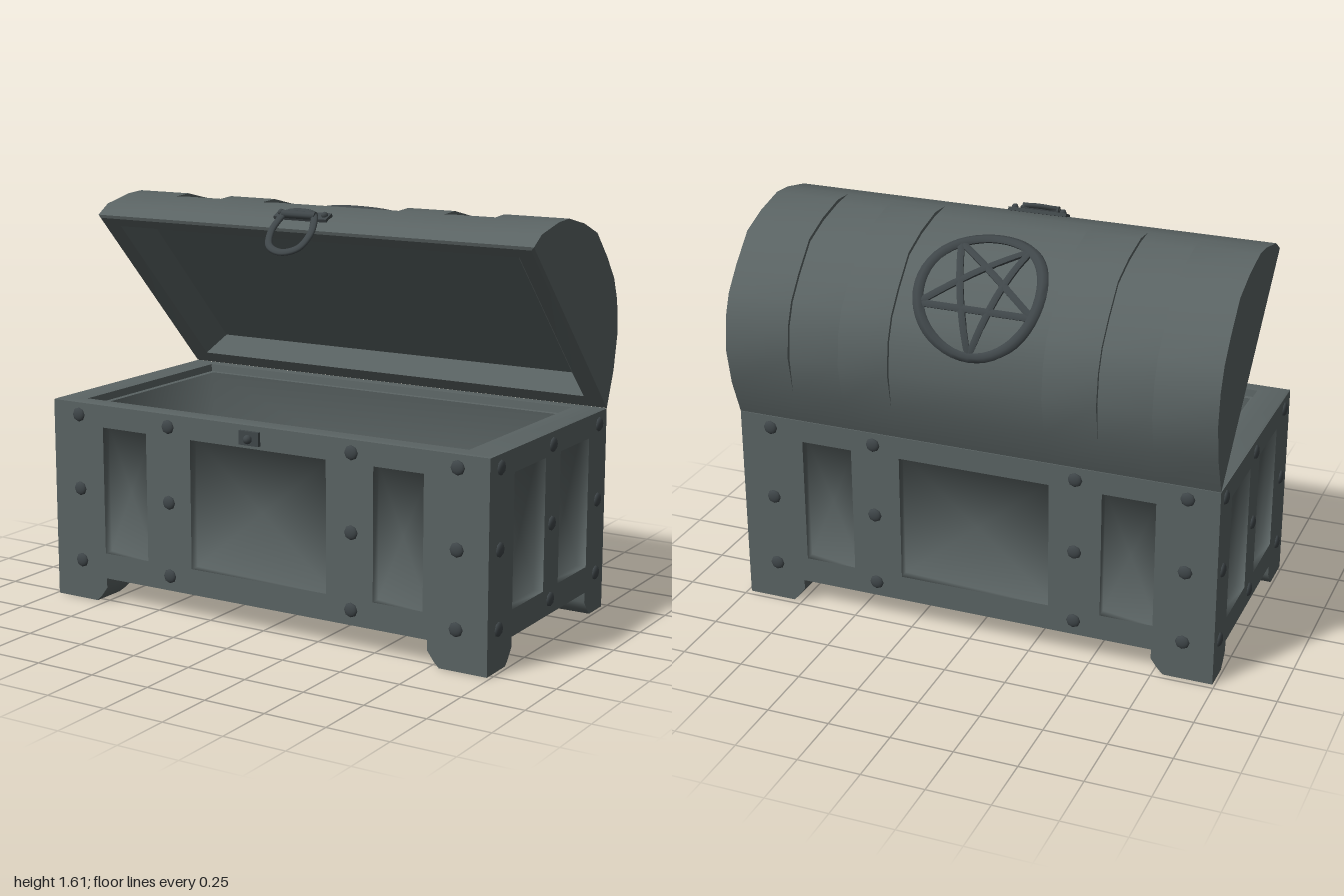
import * as THREE from 'three';
import { toCreasedNormals } from 'three/addons/utils/BufferGeometryUtils.js';

const wood = new THREE.MeshStandardMaterial({ color: 0x5a6363, side: THREE.DoubleSide });
const iron = new THREE.MeshStandardMaterial({ color: 0x3f4649, side: THREE.DoubleSide });

function add(parent, name, geo, mat, x = 0, y = 0, z = 0) {
  const m = new THREE.Mesh(geo, mat);
  m.name = name;
  m.position.set(x, y, z);
  parent.add(m);
  return m;
}

// Skin a list of equal-length point rings; optional end caps are fans
function loft(rings, { closed = true, capStart = false, capEnd = false, crease = 0.6 } = {}) {
  const n = rings[0].length, pos = rings.flat(2), idx = [];
  for (let r = 0; r < rings.length - 1; r++)
    for (let i = 0; i < (closed ? n : n - 1); i++) {
      const a = r * n + i, b = r * n + (i + 1) % n;
      idx.push(a, b, a + n, b, b + n, a + n);
    }
  const cap = (r, flip) => {
    const c = pos.length / 3;
    for (let k = 0; k < 3; k++) pos.push(rings[r].reduce((s, p) => s + p[k], 0) / n);
    for (let i = 0; i < n; i++) {
      const a = r * n + i, b = r * n + (i + 1) % n;
      idx.push(c, flip ? b : a, flip ? a : b);
    }
  };
  if (capStart) cap(0, true);
  if (capEnd) cap(rings.length - 1, false);
  const g = new THREE.BufferGeometry();
  g.setAttribute('position', new THREE.Float32BufferAttribute(pos, 3));
  g.setIndex(idx);
  return toCreasedNormals(g, crease);
}

// Horizontal rectangle ring, counter-clockwise seen from above
const rect = (x0, x1, z0, z1, y) => [[x0, y, z1], [x1, y, z1], [x1, y, z0], [x0, y, z0]];

const X0 = -0.99, X1 = 0.985, Z0 = -0.475, Z1 = 0.525, TOP = 0.815, BASE = 0.1;
const inset = (dx, dz, y) => rect(X0 + dx, X1 - dx, Z0 + dz, Z1 - dz, y);

// Upright wall facing +z with softly shaded recessed panels; dir = -1 makes it face -z
function wall(name, a, b, openings, dir = 1) {
  const group = new THREE.Group();
  group.name = name;
  const corners = (x0, x1, y0, y1) => [[x0, y0], [x1, y0], [x1, y1], [x0, y1]];
  const path = (P, ...c) => new P(corners(...c).map(p => new THREE.Vector2(...p)));
  const shape = path(THREE.Shape, a, b, BASE, TOP);
  for (const [x0, x1] of openings) {
    const c = [x0, x1, 0.205, 0.725];
    shape.holes.push(path(THREE.Path, ...c));
    const rings = [0, -0.04 * dir].map(z => corners(...c).map(([x, y]) => [x, y, z]));
    if (dir < 0) rings.forEach(r => r.reverse());
    add(group, 'recessedPanel', loft(rings, { capEnd: true, crease: Math.PI }), wood);
  }
  const face = new THREE.ShapeGeometry(shape);
  if (dir < 0) {
    face.index.array.reverse();
    face.computeVertexNormals();
  }
  add(group, 'wallFrame', face, wood);
  return group;
}

function buildBody() {
  const body = new THREE.Group();
  body.name = 'body';

  // Four panelled walls
  const long = [[-0.745, -0.532], [-0.32, 0.3], [0.505, 0.717]];
  const end = [[-0.33, -0.07], [-0.058 + 0.116, 0.315]];
  const front = wall('frontWall', X0, X1, long), back = wall('backWall', X0, X1, long, -1);
  const left = wall('leftWall', -Z1, -Z0, end), right = wall('rightWall', -Z1, -Z0, end, -1);
  front.position.z = Z1;
  back.position.z = Z0;
  left.position.x = X1;
  right.position.x = X0;
  left.rotation.y = right.rotation.y = Math.PI / 2;
  body.add(front, back, left, right);

  // Rim with a small inner step
  add(body, 'rim', loft([
    inset(0, 0, TOP), inset(0.01, 0.01, TOP + 0.004), inset(0.12, 0.066, TOP + 0.004),
    inset(0.125, 0.07, 0.79), inset(0.143, 0.085, 0.788)
  ]), wood);

  // Softly shaded inner walls and floor
  add(body, 'interior', loft([inset(0.143, 0.085, 0.788), inset(0.15, 0.09, 0.16)],
    { capEnd: true, crease: Math.PI }), wood);

  // Underside with a shallow recess
  add(body, 'underside', loft([
    inset(0.14, 0.14, BASE + 0.025), inset(0.09, 0.09, BASE), inset(0, 0, BASE)
  ], { capStart: true, crease: 0.4 }), wood);

  // Corner feet, chamfered on their inner sides
  const foot = [[0, 0.05], [0.02, 0.03], [0.06, 0], [0.13, 0]];
  for (const isLeft of [false, true]) for (const isFront of [false, true]) {
    const rings = foot.map(([y, c]) => {
      const w = 0.248 - c, d = (isFront ? 0.195 : 0.165) - c;
      return rect(isLeft ? X1 - w : X0, isLeft ? X1 : X0 + w,
        isFront ? Z1 - d : Z0, isFront ? Z1 : Z0 + d, y);
    });
    add(body, 'foot', loft(rings, { capStart: true, crease: 0.9 }), wood);
  }

  // Domed rivets on all four sides
  const dome = new THREE.SphereGeometry(0.029, 8, 4, 0, Math.PI * 2, 0, Math.PI / 2);
  dome.scale(1, 0.45, 1);
  for (const y of [0.765, 0.46, 0.16]) {
    for (const x of [-0.865, -0.425, 0.41, 0.855]) {
      add(body, 'rivet', dome, iron, x, y, Z1).rotation.x = Math.PI / 2;
      add(body, 'rivet', dome, iron, x, y, Z0).rotation.x = -Math.PI / 2;
    }
    for (const z of [0.44, 0.01, -0.405]) {
      add(body, 'rivet', dome, iron, X1, y, z).rotation.z = -Math.PI / 2;
      add(body, 'rivet', dome, iron, X0, y, z).rotation.z = Math.PI / 2;
    }
  }

  // Lock plate with a knob
  add(body, 'lockPlate', new THREE.BoxGeometry(0.09, 0.055, 0.02), iron, -0.037, 0.767, Z1 + 0.005);
  add(body, 'lockStem', new THREE.CylinderGeometry(0.01, 0.01, 0.03, 8), iron, -0.037, 0.765, 0.54).rotation.x = Math.PI / 2;
  add(body, 'lockKnob', new THREE.SphereGeometry(0.018, 10, 8), iron, -0.037, 0.765, 0.545);
  return body;
}

// Lid section as [z, y], from the hinge over the back to the front edge
const PROFILE = [
  [-0.475, 0.817], [-0.53, 0.96], [-0.56, 1.113], [-0.545, 1.24], [-0.51, 1.33], [-0.44, 1.42],
  [-0.34, 1.525], [-0.22, 1.573], [-0.083, 1.605], [0.005, 1.6], [0.147, 1.57], [0.21, 1.53]
];
const CZ = -0.1, CY = 1.15;

function lidRing(x, depth) {
  return PROFILE.map(([z, y], i) => {
    const k = i >= 2 && i <= 8 ? depth / Math.hypot(z - CZ, y - CY) : 0;
    return [x, y + (CY - y) * k, z + (CZ - z) * k];
  });
}

// Wrap geometry drawn flat in x (across), y (down the lid) and z (height) around the lid
function wrapOnLid(geo) {
  const p = geo.attributes.position, r = 0.434;
  for (let i = 0; i < p.count; i++) {
    const a = 0.82 + p.getY(i) / r, h = r + p.getZ(i) * 0.6;
    p.setXYZ(i, p.getX(i) - 0.02, CY + h * Math.cos(a), CZ - h * Math.sin(a));
  }
  return toCreasedNormals(geo, 1);
}

function buildLid() {
  const lid = new THREE.Group();
  lid.name = 'lid';

  // Curved shell alternating raised bands and recessed fields
  const edges = [X0, -0.745, -0.532, -0.32, 0.3, 0.505, 0.717, X1], rings = [];
  for (let i = 0; i < edges.length - 1; i++) {
    const d = i % 2 ? 0.014 : 0;
    rings.push(lidRing(edges[i], d), lidRing(edges[i + 1], d));
  }
  add(lid, 'lidShell', loft(rings, { closed: false, capStart: true, capEnd: true }), wood);

  // Bevelled frame and flat lining: [inset across the opening, inset along x, depth]
  const [hz, hy] = PROFILE[0], [fz, fy] = PROFILE[PROFILE.length - 1];
  const len = Math.hypot(fz - hz, fy - hy), dz = (fz - hz) / len, dy = (fy - hy) / len;
  const at = (x, u, d) => [x, hy + dy * u + dz * d, hz + dz * u - dy * d];
  const rows = [[0, 0, 0], [0.012, 0.012, -0.006], [0.065, 0.08, 0], [0.09, 0.155, 0.09]];
  add(lid, 'lidLining', loft(rows.map(([u, ix, d]) => [
    at(X0 + ix, u, d), at(X1 - ix, u, d), at(X1 - ix, len - u, d), at(X0 + ix, len - u, d)
  ]), { capEnd: true, crease: 0.3 }), wood);

  // Star in a ring on the curved back
  const emblem = new THREE.Group();
  emblem.name = 'starEmblem';
  lid.add(emblem);
  const point = t => new THREE.Vector3(0.24 * Math.sin(t), 0.255 * Math.cos(t), 0);
  const circle = Array.from({ length: 32 }, (_, i) => point(i / 16 * Math.PI));
  add(emblem, 'starRing', wrapOnLid(
    new THREE.TubeGeometry(new THREE.CatmullRomCurve3(circle, true), 48, 0.022, 8, true)), iron);
  for (let k = 0; k < 5; k++) {
    const line = new THREE.LineCurve3(point(k * Math.PI * 0.4), point((k + 2) * Math.PI * 0.4));
    add(emblem, 'starBar', wrapOnLid(new THREE.TubeGeometry(line, 16, 0.015, 6)), iron);
  }

  // Front handle: mounting plate, pin and hanging D-ring
  const handle = new THREE.Group();
  handle.name = 'handle';
  handle.position.set(-0.04, 1.582, 0.17);
  lid.add(handle);
  add(handle, 'handlePlate', new THREE.BoxGeometry(0.24, 0.014, 0.05), iron, 0, -0.008, -0.025).rotation.x = 0.42;
  add(handle, 'handlePin', new THREE.CylinderGeometry(0.016, 0.016, 0.15, 10), iron).rotation.z = Math.PI / 2;
  for (const s of [-1, 1]) add(handle, 'handleRivet', new THREE.SphereGeometry(0.014, 8, 6), iron, s * 0.1, 0.002, -0.025);
  const loop = [[-0.06, 0.005], [0.06, 0.005], [0.085, -0.05], [0.088, -0.1], [0.065, -0.16],
    [0, -0.185], [-0.065, -0.16], [-0.088, -0.1], [-0.085, -0.05]].map(([x, y]) => new THREE.Vector3(x, y, 0));
  const ringGeo = new THREE.TubeGeometry(new THREE.CatmullRomCurve3(loop, true), 48, 0.016, 8, true);
  ringGeo.scale(1, 1, 0.6);
  add(handle, 'handleRing', ringGeo, iron).rotation.x = -Math.PI / 4;
  return lid;
}

export function createModel() {
  const chest = new THREE.Group();
  chest.name = 'chest';
  chest.add(buildBody(), buildLid());
  return chest;
}
